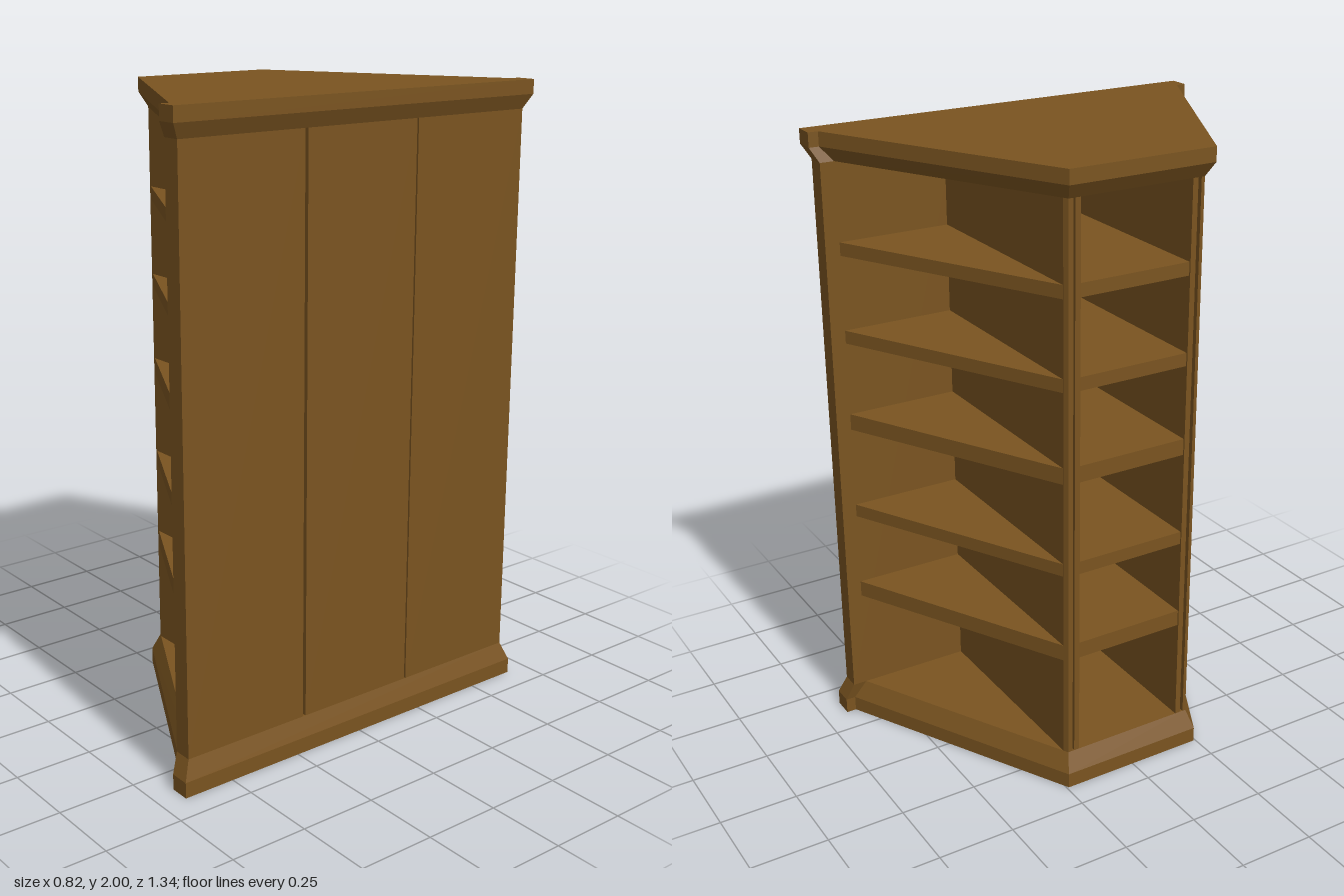
import * as THREE from 'three';

const wood = new THREE.MeshStandardMaterial({ color: 0x7a5420, flatShading: true });

// Solid through stacked [y, outline] levels; each outline is a list of [x, z] corners.
function loft(name, levels) {
  const rings = levels.map(([y, pts]) => {
    const flat = pts.map(([x, z]) => new THREE.Vector2(x, -z));
    if (THREE.ShapeUtils.area(flat) < 0) flat.reverse();
    return { y, flat };
  });
  const pos = [];
  const put = (ring, i) => pos.push(ring.flat[i].x, ring.y, -ring.flat[i].y);
  const n = rings[0].flat.length;
  for (let k = 0; k + 1 < rings.length; k++) {
    const lo = rings[k], hi = rings[k + 1];
    for (let i = 0; i < n; i++) {
      const j = (i + 1) % n;
      put(lo, i); put(lo, j); put(hi, j);
      put(lo, i); put(hi, j); put(hi, i);
    }
  }
  const bottom = rings[0], top = rings[rings.length - 1];
  for (const [a, b, c] of THREE.ShapeUtils.triangulateShape(bottom.flat, [])) {
    put(bottom, c); put(bottom, b); put(bottom, a);
  }
  for (const [a, b, c] of THREE.ShapeUtils.triangulateShape(top.flat, [])) {
    put(top, a); put(top, b); put(top, c);
  }
  const geo = new THREE.BufferGeometry();
  geo.setAttribute('position', new THREE.Float32BufferAttribute(pos, 3));
  geo.computeVertexNormals();
  const mesh = new THREE.Mesh(geo, wood);
  mesh.name = name;
  return mesh;
}

const prism = (name, y0, y1, pts) => loft(name, [[y0, pts], [y1, pts]]);
const rect = (x0, x1, z0, z1) => [[x0, z0], [x1, z0], [x1, z1], [x0, z1]];
const mirrored = half => [...half, ...half.map(([x, z]) => [x, -z]).reverse()];

export function createModel() {
  const group = new THREE.Group();
  group.name = 'bookcase';

  // Plan outlines: moulding edge and the narrower carcass
  const outer = mirrored([[-0.41, 0.243], [0.345, 0.638], [0.345, 0.67], [0.41, 0.67]]);
  const inner = mirrored([[-0.38, 0.227], [0.33, 0.6], [0.33, 0.645], [0.39, 0.645]]);
  const y0 = 0.11, y1 = 1.91;

  // Plinth and cornice with sloping mouldings
  group.add(loft('plinth', [[0, outer], [0.05, outer], [y0, inner]]));
  group.add(loft('cornice', [[y1, inner], [1.955, outer], [2, outer]]));

  const shelves = [[0.445, 0.498], [0.74, 0.782], [1.047, 1.1], [1.338, 1.38], [1.62, 1.662]];

  // Middle bay, open at the narrow end
  const middle = new THREE.Group();
  middle.name = 'middleBay';
  middle.add(prism('middleBackPanel', y0, y1, rect(0.33, 0.39, -0.205, 0.205)));
  for (const s of [1, -1]) {
    middle.add(prism('middleSideWall', y0, y1, rect(-0.38, 0.33, s * 0.187, s * 0.205)));
  }
  for (const [a, b] of shelves) {
    middle.add(prism('middleShelf', a, b, rect(-0.375, 0.33, -0.187, 0.187)));
  }
  group.add(middle);

  // Wedge-shaped bays, open along the slanted sides, with a slit beside the middle bay
  for (const s of [1, -1]) {
    const bay = new THREE.Group();
    bay.name = s > 0 ? 'frontBay' : 'rearBay';
    const side = pts => pts.map(([x, z]) => [x, z * s]);
    const slit = s > 0 ? 0.216 : 0.211;
    bay.add(prism('wedgeBackPanel', y0, y1, side(rect(0.33, 0.39, slit, 0.645))));
    bay.add(prism('wedgeInnerWall', y0, y1, side([
      [-0.38, slit], [-0.38, 0.227], [-0.365, 0.235], [0.33, 0.235], [0.33, slit]])));
    for (const [a, b] of shelves) {
      bay.add(prism('wedgeShelf', a, b, side([[-0.363, 0.235], [0.33, 0.235], [0.33, 0.598]])));
    }
    group.add(bay);
  }
  return group;
}
